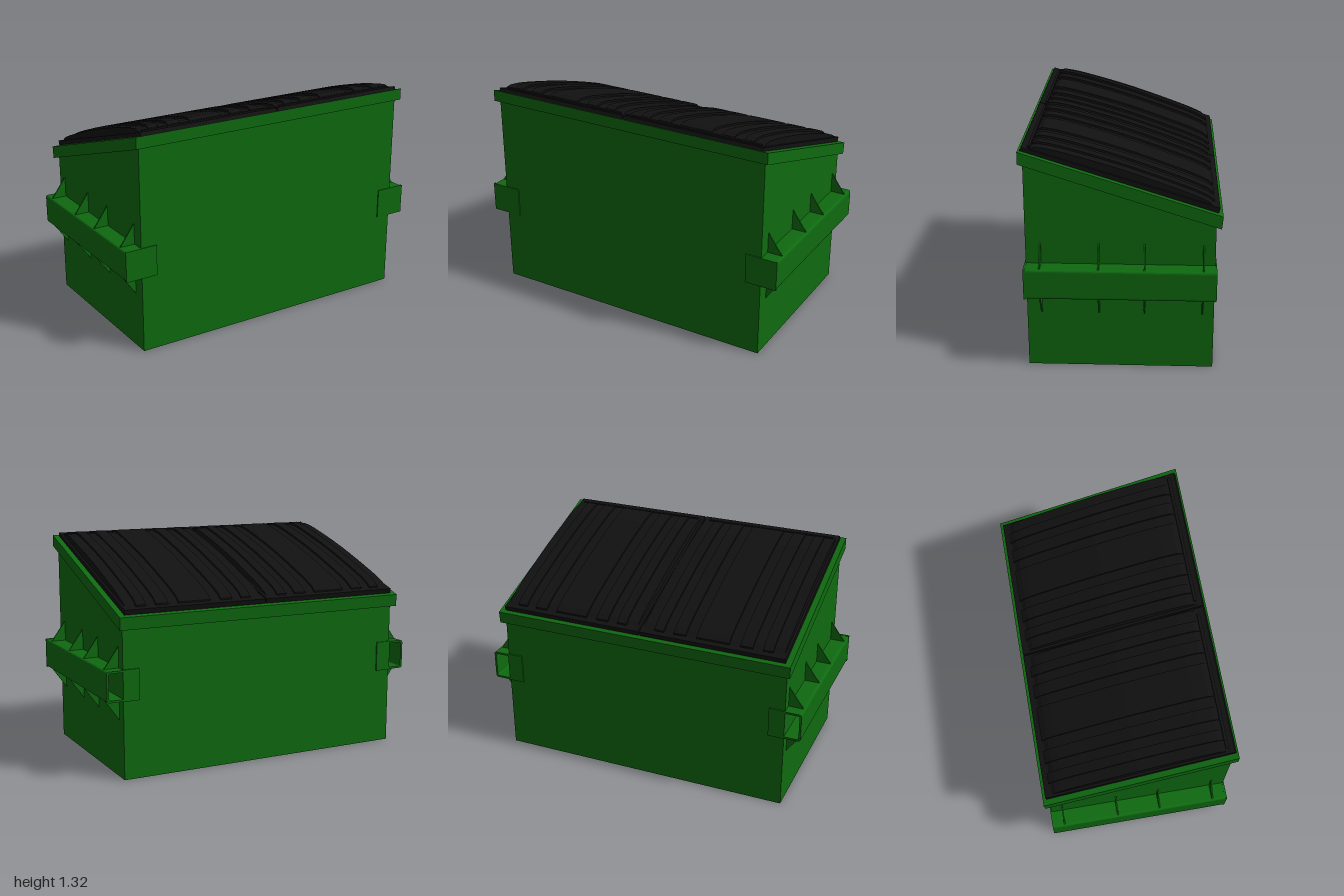
import * as THREE from 'three';

const green = new THREE.MeshStandardMaterial({ color: 0x0f6a10 });
const black = new THREE.MeshStandardMaterial({ color: 0x111111 });

// Side profile given as [z, y] points, extruded along x from x0 to x1
function slab(name, points, x0, x1, material) {
  const shape = new THREE.Shape(points.map(([z, y]) => new THREE.Vector2(-z, y)));
  const geo = new THREE.ExtrudeGeometry(shape, { depth: x1 - x0, bevelEnabled: false });
  geo.rotateY(Math.PI / 2).translate(x0, 0, 0);
  const mesh = new THREE.Mesh(geo, material);
  mesh.name = name;
  return mesh;
}

// Cross-section in x and y, extruded along z from z0 to z1
function bar(name, shape, z0, z1, material) {
  const geo = new THREE.ExtrudeGeometry(shape, { depth: z1 - z0, bevelEnabled: false, curveSegments: 4 });
  geo.translate(0, 0, z0);
  const mesh = new THREE.Mesh(geo, material);
  mesh.name = name;
  return mesh;
}

// Height of the sloped rim top at depth z
const rimY = (z) => 1.295 - (0.56 - z) * 0.3184;

// Arched lid profile, lifted by the given amount
function archProfile(lift, zFront, zBack) {
  const crown = new THREE.SplineCurve([
    [0.46, 1.308], [0.33, 1.283], [0, 1.188], [-0.35, 1.064], [-0.475, 1.01],
  ].map(([z, y]) => new THREE.Vector2(z, y + lift)));
  return [
    [zFront, rimY(zFront)], [zFront, rimY(zFront) + 0.024 + lift],
    ...crown.getPoints(16).map((p) => [p.x, p.y]),
    [zBack, rimY(zBack) + 0.028 + lift], [zBack, rimY(zBack)],
  ];
}

function roundedRect(path, x0, y0, x1, y1, r) {
  path.moveTo(x0, y0);
  path.lineTo(x1 - r, y0);
  path.quadraticCurveTo(x1, y0, x1, y0 + r);
  path.lineTo(x1, y1 - r);
  path.quadraticCurveTo(x1, y1, x1 - r, y1);
  path.lineTo(x0, y1);
  path.closePath();
  return path;
}

// One lid panel on the +x side
function lid() {
  const group = new THREE.Group();
  group.name = 'lid';
  const flange = [[0.55, rimY(0.55)], [0.54, 1.311], [-0.54, 0.976], [-0.532, rimY(-0.532)]];
  group.add(slab('lidFlange', flange, 0.004, 0.89, black));
  group.add(slab('lidPanel', archProfile(0, 0.505, -0.505), 0.02, 0.875, black));
  const ribs = [[0.09, 0.15], [0.21, 0.285], [0.35, 0.55], [0.615, 0.69], [0.75, 0.81]];
  for (const [a, b] of ribs) {
    group.add(slab('lidRib', archProfile(0.012, 0.49, -0.51), a, b, black));
  }
  const lip = [[0.515, 1.29], [0.51, 1.309], [0.495, 1.309], [0.49, 1.29]];
  group.add(slab('lidCrossRib', lip, 0.04, 0.86, black));
  return group;
}

// Fork pocket with gussets on the +x side, open at the back
function forkPocket() {
  const group = new THREE.Group();
  group.name = 'forkPocket';
  const sleeve = roundedRect(new THREE.Shape(), 0.89, 0.46, 1, 0.638, 0.016);
  sleeve.holes.push(roundedRect(new THREE.Path(), 0.902, 0.472, 0.988, 0.626, 0.01));
  group.add(bar('pocketSleeve', sleeve, -0.53, 0.535, green));

  // Front plate caps the sleeve, back plate stops at the wall
  const plates = [['frontPlate', 1, 0.53, 0.541], ['backPlate', 0.902, -0.53, -0.52]];
  for (const [name, x1, z0, z1] of plates) {
    const plate = roundedRect(new THREE.Shape(), 0.805, 0.458, x1, 0.64, 0.004);
    group.add(bar(name, plate, z0, z1, green));
  }

  const upper = new THREE.Shape([[0.895, 0.63], [0.998, 0.625], [0.9, 0.76], [0.895, 0.76]]
    .map(([x, y]) => new THREE.Vector2(x, y)));
  const lower = new THREE.Shape([[0.895, 0.335], [0.9, 0.335], [0.998, 0.472], [0.895, 0.468]]
    .map(([x, y]) => new THREE.Vector2(x, y)));
  for (const z of [0.452, 0.126, -0.13, -0.456]) {
    group.add(bar('upperGusset', upper, z - 0.004, z + 0.004, green));
    group.add(bar('lowerGusset', lower, z - 0.004, z + 0.004, green));
  }
  return group;
}

// Mirrored copy across x = 0, with triangle winding restored
function mirrorX(group) {
  const copy = group.clone();
  copy.traverse((o) => {
    if (!o.isMesh) return;
    o.geometry = o.geometry.clone().scale(-1, 1, 1);
    for (const attr of Object.values(o.geometry.attributes)) {
      const n = attr.itemSize;
      for (let i = 0; i < attr.count; i += 3) {
        for (let k = 0; k < n; k++) {
          const a = attr.array[(i + 1) * n + k];
          attr.array[(i + 1) * n + k] = attr.array[(i + 2) * n + k];
          attr.array[(i + 2) * n + k] = a;
        }
      }
    }
  });
  return copy;
}

export function createModel() {
  const model = new THREE.Group();
  model.name = 'wasteContainer';

  // Slope-topped bin body
  model.add(slab('body', [
    [0.535, 0], [0.535, rimY(0.535) - 0.03], [-0.522, rimY(-0.522) - 0.03], [-0.522, 0],
  ], -0.9, 0.9, green));

  // Sloped rim band around the top
  model.add(slab('rim', [
    [0.56, 1.225], [0.56, 1.295], [-0.557, 0.939], [-0.55, 0.866],
  ], -0.925, 0.925, green));

  for (const part of [lid(), forkPocket()]) model.add(part, mirrorX(part));
  return model;
}
